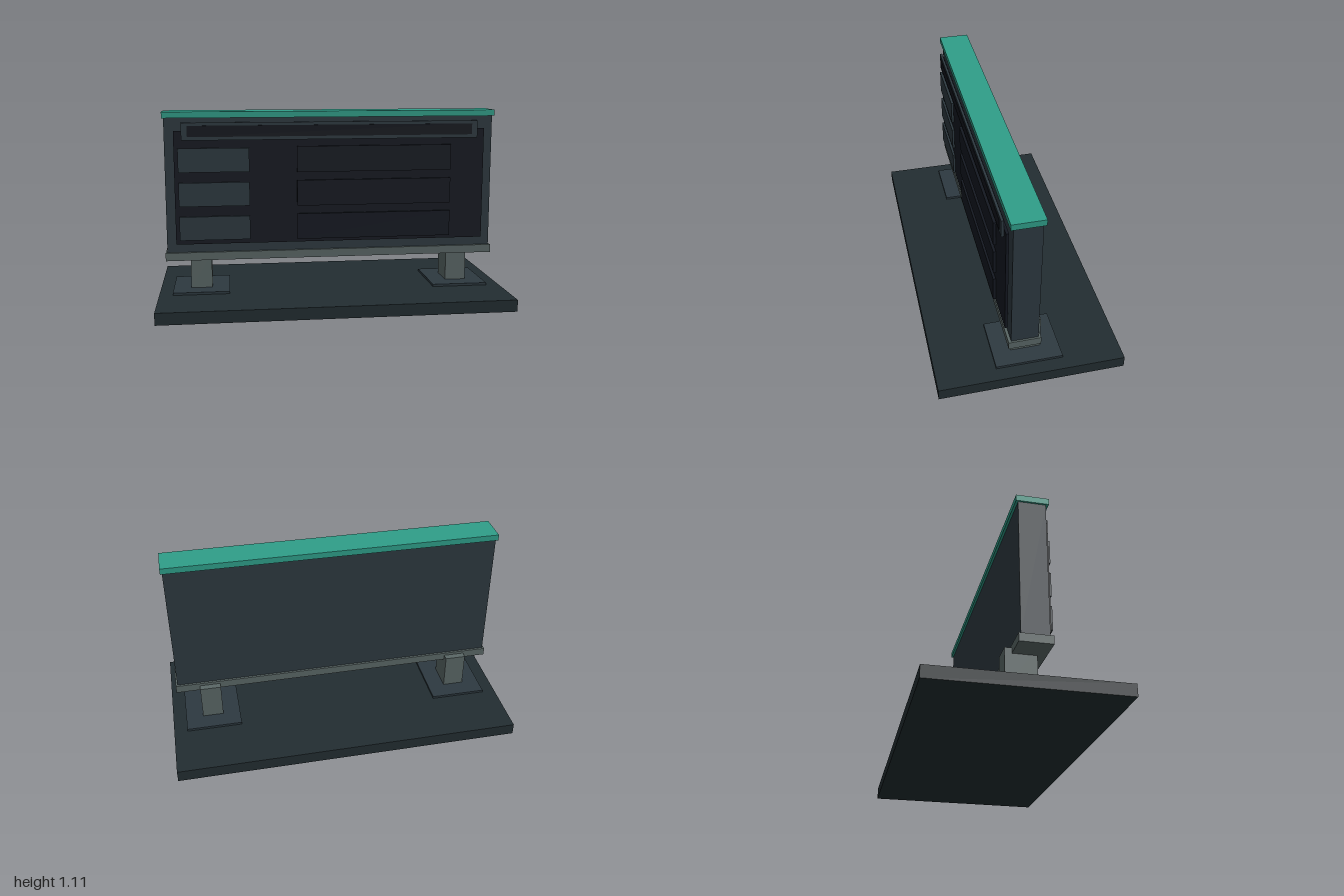
import * as THREE from 'three';

const paint = (color) => new THREE.MeshStandardMaterial({ color });

export function createModel() {
  const model = new THREE.Group();
  const slate = paint(0x2d3940);
  const stone = paint(0x222d31);
  const steel = paint(0x5a6766);
  const dark = paint(0x141821);
  const black = paint(0x10141c);
  const teal = paint(0x2f9e89);

  // Box given by its extents on each axis
  const box = (name, material, [x0, x1], [y0, y1], [z0, z1]) => {
    const mesh = new THREE.Mesh(new THREE.BoxGeometry(x1 - x0, y1 - y0, z1 - z0), material);
    mesh.position.set((x0 + x1) / 2, (y0 + y1) / 2, (z0 + z1) / 2);
    mesh.name = name;
    model.add(mesh);
  };

  // Ground slab
  box('baseSlab', stone, [-1, 1], [0, 0.068], [-0.52, 0.52]);

  // Mounting plates and posts, mirrored
  for (const [side, x] of [['left', 0.76], ['right', -0.76]]) {
    box(side + 'FootPlate', slate, [x - 0.162, x + 0.162], [0.068, 0.082], [-0.188, 0.188]);
    box(side + 'Post', steel, [x - 0.061, x + 0.061], [0.082, 0.286], [-0.084, 0.084]);
  }

  // Cabinet with its lower rail and top cap
  box('cabinet', slate, [-0.95, 0.95], [0.302, 1.073], [-0.034, 0.115]);
  box('bottomRail', steel, [-0.96, 0.96], [0.256, 0.302], [-0.047, 0.13]);
  box('topCap', teal, [-0.96, 0.96], [1.073, 1.108], [-0.047, 0.13]);

  // Front display panel and header strip
  box('displayPanel', dark, [-0.897, 0.897], [0.353, 1.002], [0.122, 0.137]);
  box('headerFrame', slate, [-0.853, 0.853], [0.949, 1.048], [0.137, 0.151]);
  box('headerInset', black, [-0.82, 0.82], [0.968, 1.031], [0.146, 0.154]);

  // Three rows: a label tile and a wide information strip
  for (let row = 0; row < 3; row++) {
    const y = 0.836 - row * 0.195;
    box('labelTile' + (row + 1), slate, [-0.875, -0.475], [y - 0.068, y + 0.068], [0.139, 0.152]);
    box('infoStrip' + (row + 1), dark, [-0.203, 0.697], [y - 0.074, y + 0.074], [0.139, 0.154]);
  }

  return model;
}
